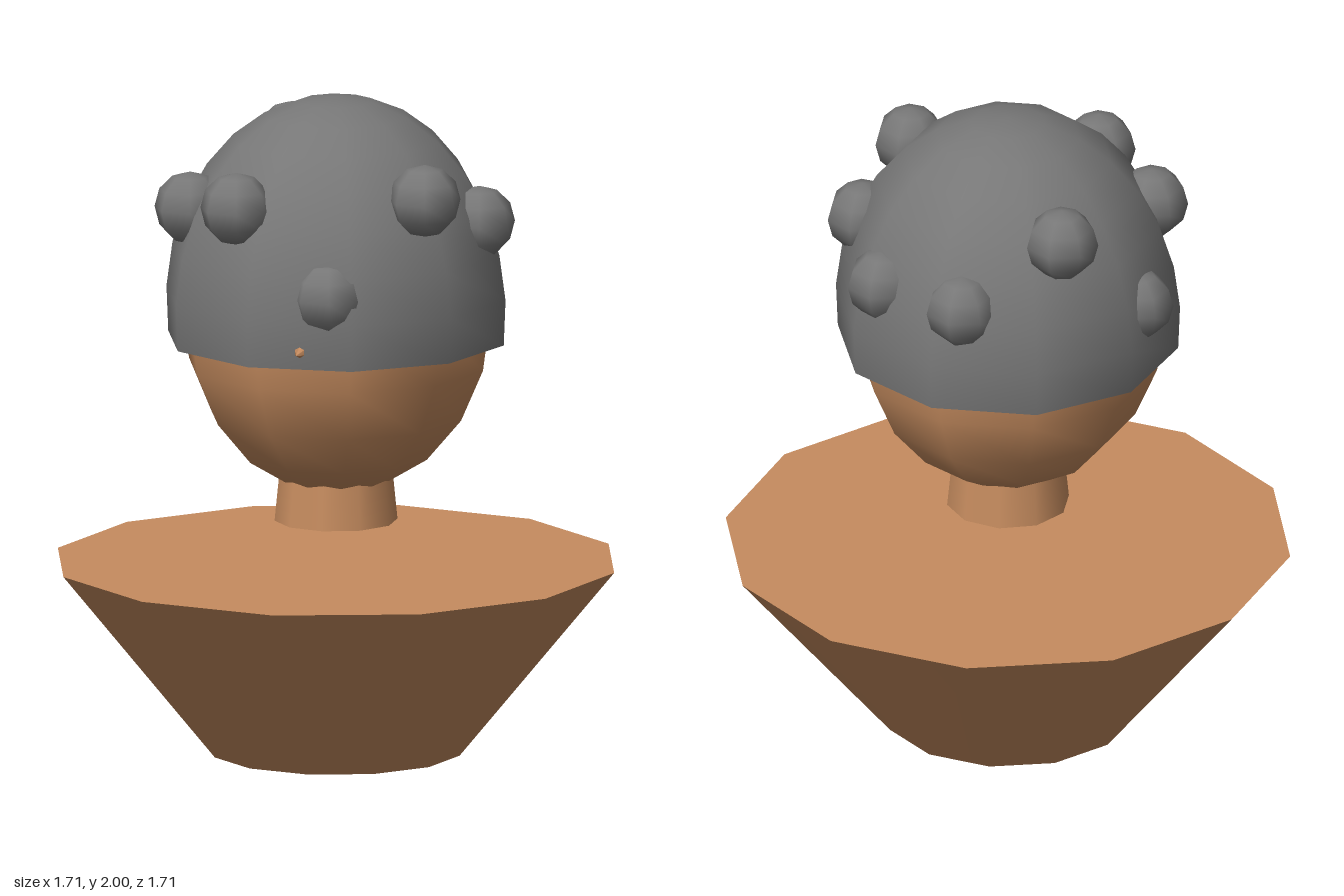
import * as THREE from 'three';

export function createModel() {
  const model = new THREE.Group();
  const skin = new THREE.MeshStandardMaterial({ color: 0xc68c5f });
  skin.name = 'skin';
  const hair = new THREE.MeshStandardMaterial({ color: 0x777777, side: THREE.DoubleSide });
  hair.name = 'hairGrey';

  const add = (name, geometry, material, x, y, z, parent = model) => {
    const mesh = new THREE.Mesh(geometry, material);
    mesh.name = name;
    mesh.position.set(x, y, z);
    parent.add(mesh);
    return mesh;
  };

  // Tapered twelve-sided bust and the neck floating above it
  add('bust', new THREE.CylinderGeometry(0.855, 0.38, 0.58, 12), skin, 0, 0.29, 0);
  add('neck', new THREE.CylinderGeometry(0.16, 0.185, 0.25, 10), skin, 0, 0.83, 0);

  // Egg-shaped head
  const head = new THREE.SphereGeometry(1, 10, 10);
  head.scale(0.475, 0.56, 0.475);
  add('head', head, skin, 0, 1.353, 0);

  // Small nose whose tip pokes out under the hair
  const nose = new THREE.ConeGeometry(0.05, 0.15, 6);
  nose.rotateX(Math.PI / 2);
  add('nose', nose, skin, 0, 1.312, 0.467);

  // Open cap of hair, slightly more than a half dome
  const cap = new THREE.SphereGeometry(1, 10, 8, 0, Math.PI * 2, 0, Math.PI * 0.55);
  cap.scale(0.522, 0.64, 0.522);
  add('hairCap', cap, hair, 0, 1.36, 0);

  // Ring of nine curls at varying heights
  const curls = new THREE.Group();
  curls.name = 'hairCurls';
  model.add(curls);
  const curl = new THREE.SphereGeometry(0.11, 7, 6);
  [1.635, 1.75, 1.47, 1.72, 1.67, 1.48, 1.79, 1.57, 1.56].forEach((y, i) => {
    const a = (i / 9) * Math.PI * 2;
    add('curl', curl, hair, Math.cos(a) * 0.44, y, Math.sin(a) * 0.44, curls);
  });

  return model;
}
